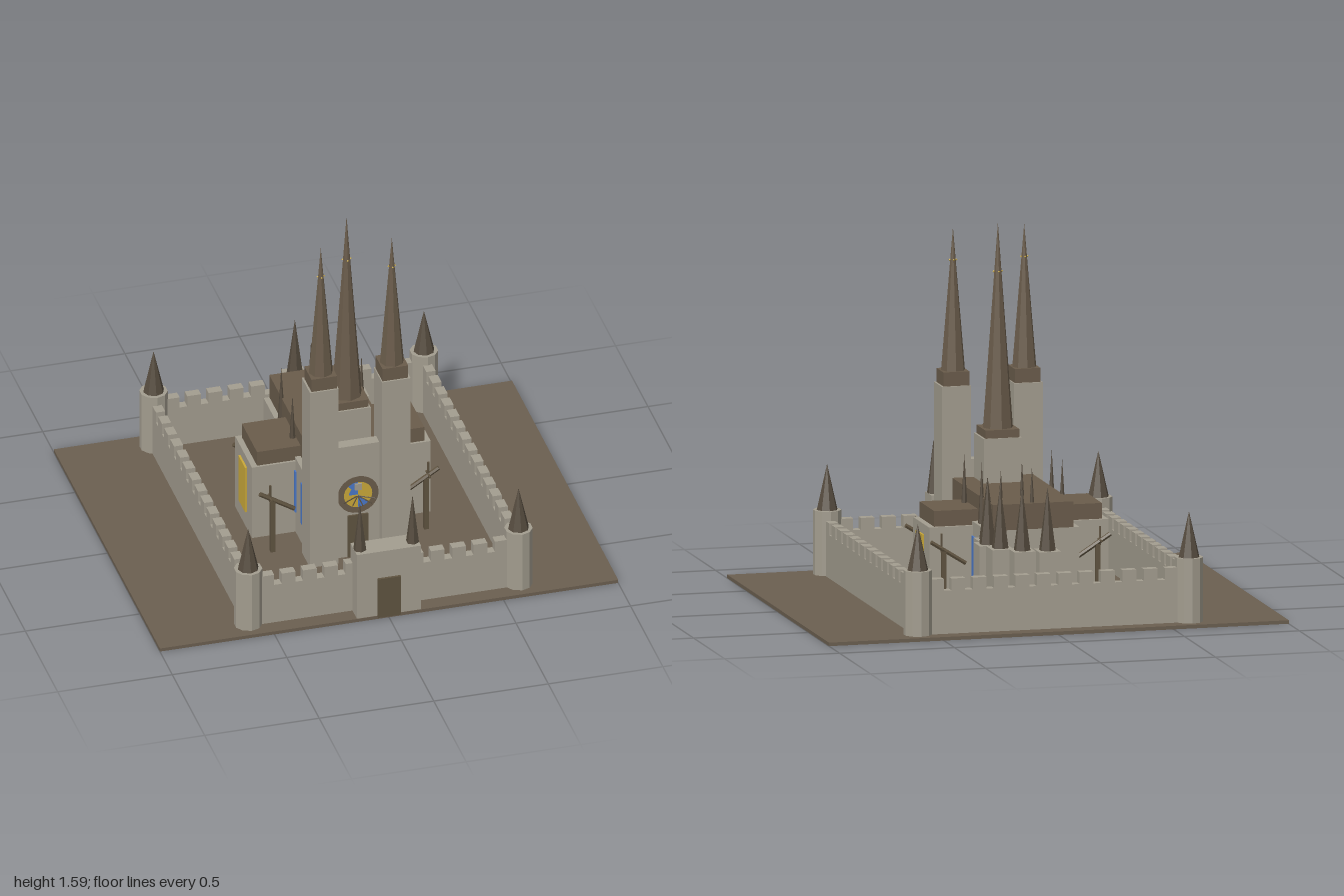
import * as THREE from 'three';

const mat = (name, color) => Object.assign(new THREE.MeshStandardMaterial({ color, flatShading: true }), { name });

export function createModel() {
  const stone = mat('stone', 0xa39d8f), earth = mat('earth', 0x6b5f50), roof = mat('roof', 0x6a5c4b);
  const slate = mat('slate', 0x564c3f), wood = mat('wood', 0x5f5340);
  const gold = mat('gold', 0xc9a83a), blue = mat('blue glass', 0x4a78c8);
  const model = new THREE.Group();
  model.name = 'walledCathedral';

  const add = (name, geo, m, x, y, z, parent = model) => {
    const mesh = new THREE.Mesh(geo, m);
    mesh.name = name;
    mesh.position.set(x, y, z);
    parent.add(mesh);
    return mesh;
  };
  // box given by centre x/z, bottom and top heights
  const block = (name, m, x, z, w, d, y0, y1, parent) =>
    add(name, new THREE.BoxGeometry(w, y1 - y0, d), m, x, (y0 + y1) / 2, z, parent);
  const cone = (name, m, x, z, r, y0, y1, sides = 8) =>
    add(name, new THREE.ConeGeometry(r, y1 - y0, sides), m, x, (y0 + y1) / 2, z);
  // round bar between two points
  const bar = (name, m, a, b, r, parent) => {
    const d = b.clone().sub(a);
    const mesh = add(name, new THREE.CylinderGeometry(r, r, d.length(), 6), m, 0, 0, 0, parent);
    mesh.position.copy(a).addScaledVector(d, 0.5);
    mesh.quaternion.setFromUnitVectors(new THREE.Vector3(0, 1, 0), d.normalize());
    return mesh;
  };
  const V = (x, y, z) => new THREE.Vector3(x, y, z);

  block('ground', earth, 0, -0.01, 2, 1.64, 0, 0.015);

  // curtain walls with battlements
  const wall = (name, x, z, length, alongX) => {
    const g = new THREE.Group();
    g.name = name;
    g.position.set(x, 0, z);
    if (!alongX) g.rotation.y = Math.PI / 2;
    model.add(g);
    block('wallBody', stone, 0, 0, length, 0.04, 0.01, 0.2, g);
    const n = Math.round((length - 0.1) / 0.093);
    for (let i = 0; i < n; i++)
      block('merlon', stone, (i - (n - 1) / 2) * 0.093, 0, 0.06, 0.04, 0.2, 0.25, g);
  };
  wall('frontWall', 0, 0.72, 1.18, true);
  wall('backWall', 0, -0.74, 1.18, true);
  for (const s of [-1, 1]) {
    wall('sideWall', s * 0.59, -0.01, 1.46, false);
    for (const z of [0.72, -0.74]) {
      add('cornerTower', new THREE.CylinderGeometry(0.06, 0.06, 0.28, 10), stone, s * 0.59, 0.15, z);
      cone('cornerRoof', slate, s * 0.59, z, 0.045, 0.29, 0.485);
    }
  }

  // gatehouse
  block('gatehouse', stone, 0, 0.758, 0.28, 0.1, 0.01, 0.33);
  block('gateDoor', wood, 0, 0.812, 0.1, 0.014, 0.01, 0.2);
  for (const s of [-1, 1]) cone('gateSpire', slate, s * 0.115, 0.765, 0.028, 0.33, 0.56, 6);

  // nave and transept
  block('nave', stone, 0, -0.09, 0.4, 0.66, 0.01, 0.38);
  block('naveRoof', roof, 0, -0.09, 0.35, 0.66, 0.38, 0.49);
  block('transept', stone, 0, -0.057, 0.78, 0.26, 0.01, 0.363);
  block('transeptRoof', roof, 0, -0.055, 0.73, 0.235, 0.363, 0.43);
  for (const s of [-1, 1]) {
    block('transeptWindow', gold, s * 0.395, -0.053, 0.009, 0.105, 0.1, 0.32);
    for (const z of [0.2, 0.065, -0.07, -0.21])
      block('naveWindow', blue, s * 0.202, z, 0.009, 0.05, 0.12, 0.32);
  }

  // spire with a square base and a ring of gilded studs
  const spire = (x, z, w, y0, y1, y2, r, yStud) => {
    block('spireBase', roof, x, z, w, w, y0, y1);
    cone('spire', roof, x, z, r, y1, y2);
    const rs = r * (y2 - yStud) / (y2 - y1) + 0.002;
    for (let i = 0; i < 4; i++) {
      const a = i * Math.PI / 2;
      add('spireStud', new THREE.OctahedronGeometry(0.005), gold, x + rs * Math.cos(a), yStud, z + rs * Math.sin(a));
    }
  };
  for (const s of [-1, 1]) {
    block('frontTower', stone, s * 0.157, 0.303, 0.125, 0.127, 0.01, 0.88);
    spire(s * 0.155, 0.303, 0.112, 0.88, 0.94, 1.55, 0.052, 1.41);
  }
  block('crossingTower', stone, 0, 0.155, 0.165, 0.16, 0.38, 0.68);
  spire(0, 0.153, 0.148, 0.68, 0.715, 1.59, 0.065, 1.38);

  // west facade with portal and rose window
  block('facade', stone, 0, 0.3, 0.2, 0.05, 0.01, 0.56);
  block('portal', wood, 0, 0.328, 0.09, 0.01, 0.01, 0.22);
  add('roseRim', new THREE.RingGeometry(0.062, 0.09, 24), roof, 0, 0.32, 0.331);
  for (let i = 0; i < 8; i++)
    add('rosePane', new THREE.CircleGeometry(0.063, 4, i * Math.PI / 4, Math.PI / 4),
      i % 4 === 2 ? blue : gold, 0, 0.32, 0.329);
  add('rosePaneLeft', new THREE.CircleGeometry(0.04, 8, Math.PI / 2, Math.PI / 2), blue, 0, 0.32, 0.3305);
  block('roseBoss', stone, 0, 0.334, 0.03, 0.008, 0.345, 0.375);
  for (let i = -2; i <= 2; i++) {
    const a = i * 0.5;
    bar('portalRay', slate, V(0, 0.31, 0.325), V(0.085 * Math.sin(a), 0.31, 0.325 + 0.08 * Math.cos(a)), 0.0025);
  }

  // slender pinnacles on the roofs
  const pinnacles = [[0, -0.395, 0.645], [0, -0.235, 0.64], [0.175, -0.235, 0.64], [-0.175, -0.235, 0.64],
    [0.1, -0.265, 0.61], [0.19, 0.01 - 0.02, 0.64], [-0.19, -0.01, 0.64]];
  for (const [x, z, top] of pinnacles) cone('pinnacle', slate, x, z, 0.016, 0.38, top, 6);

  // curved row of chapels behind the nave
  for (let i = 0; i < 5; i++) {
    const a = i * Math.PI / 6, x = 0.205 * Math.sin(a), z = -0.44 - 0.205 * Math.cos(a);
    block('chapel', stone, x, z, 0.095, 0.1, 0.01, 0.33);
    cone('chapelSpire', slate, x, z, 0.036, 0.33, 0.6, 6);
  }

  // tilted beam engines beside the nave
  for (const s of [-1, 1]) for (const z of [0.195, -0.215]) {
    const g = new THREE.Group();
    g.name = 'beamEngine';
    model.add(g);
    block('enginePost', wood, s * 0.335, z, 0.02, 0.02, 0.01, 0.265, g);
    bar('engineBeam', wood, V(s * 0.24, 0.21, z), V(s * 0.39, 0.305, z), 0.01, g);
    bar('engineArm', wood, V(s * 0.345, 0.28, z - 0.028), V(s * 0.345, 0.28, z + 0.028), 0.005, g);
    bar('engineMast', wood, V(s * 0.345, 0.26, z), V(s * 0.345, 0.34, z), 0.005, g);
  }
  return model;
}
